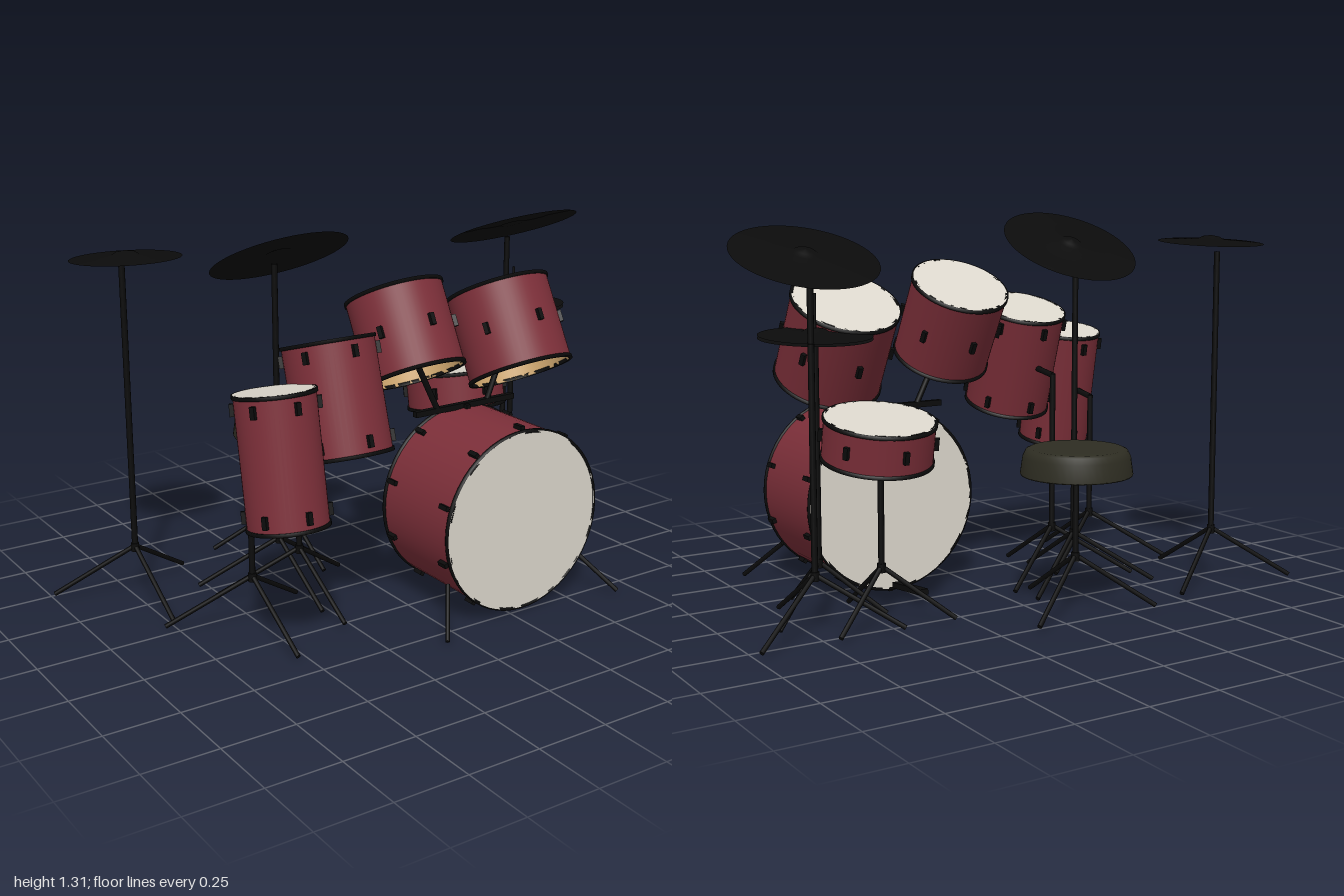
import * as THREE from 'three';

const mat = (name, color, side = THREE.FrontSide) => {
  const m = new THREE.MeshStandardMaterial({ color, side });
  m.name = name;
  return m;
};

export function createModel() {
  const red = mat('red shell', 0x7c2f39);
  const tan = mat('bare wood', 0xcaa36c, THREE.BackSide);
  const skin = mat('drum skin', 0xdcd7cc);
  const black = mat('black metal', 0x0b0b0b, THREE.DoubleSide);
  const olive = mat('seat cover', 0x2e2d22);
  const kit = new THREE.Group();
  kit.name = 'drumKit';

  const add = (parent, name, geo, material, x = 0, y = 0, z = 0) => {
    const m = new THREE.Mesh(geo, material);
    m.name = name;
    m.position.set(x, y, z);
    parent.add(m);
    return m;
  };
  const group = (name, x, y, z, tilt = 0) => {
    const g = new THREE.Group();
    g.name = name;
    g.position.set(x, y, z);
    g.rotation.x = -tilt;
    kit.add(g);
    return g;
  };
  // Straight rod between two points
  const rod = (parent, name, a, b, r) => {
    const p = new THREE.Vector3(...a), q = new THREE.Vector3(...b);
    const d = q.clone().sub(p);
    const m = add(parent, name, new THREE.CylinderGeometry(r, r, d.length(), 10), black);
    m.position.copy(p).add(q).multiplyScalar(0.5);
    m.quaternion.setFromUnitVectors(new THREE.Vector3(0, 1, 0), d.normalize());
    return m;
  };

  // Drum whose top skin is centred on the given point; tilt leans the top back
  const drum = (name, [x, y, z], tilt, R, L, { rows, lugs = 6, closed = false, lugLength = 0.04 }) => {
    const g = group(name, x, y, z, tilt);
    const r = R - 0.005;
    add(g, 'shell', new THREE.CylinderGeometry(r, r, L, 56, 1, true), red, 0, -L / 2, 0);
    add(g, 'shellInside', new THREE.CylinderGeometry(r - 0.006, r - 0.006, L, 56, 1, true), tan, 0, -L / 2, 0);
    add(g, 'topSkin', new THREE.CylinderGeometry(r, r, 0.006, 56), skin, 0, -0.001, 0);
    if (closed) add(g, 'bottomSkin', new THREE.CylinderGeometry(r, r, 0.006, 56), skin, 0, -L + 0.001, 0);
    const hoop = [[r - 0.006, 0], [R, 0], [R, 0.012], [r - 0.006, 0.012], [r - 0.006, 0]]
      .map(p => new THREE.Vector2(...p));
    for (const [n, hy] of [['topHoop', -0.01], ['bottomHoop', -L - 0.002]])
      add(g, n, new THREE.LatheGeometry(hoop, 56), black, 0, hy, 0);
    for (const row of rows) for (let i = 0; i < lugs; i++) {
      const a = i / lugs * Math.PI * 2;
      const lug = add(g, 'lug', new THREE.BoxGeometry(0.016, lugLength, 0.016), black,
        Math.sin(a) * (r + 0.006), row, Math.cos(a) * (r + 0.006));
      lug.rotation.y = a;
    }
    return g;
  };

  // Pole with three spread legs
  const stand = (name, x, z, top, reach) => {
    const g = group(name, x, 0, z);
    rod(g, 'pole', [0, 0.18, 0], [0, top, 0], 0.0105);
    add(g, 'hub', new THREE.CylinderGeometry(0.014, 0.014, 0.03, 12), black, 0, 0.195, 0);
    for (let i = 0; i < 3; i++) {
      const a = i / 3 * Math.PI * 2;
      rod(g, 'leg', [0, 0.2, 0], [Math.sin(a) * reach, 0.025, Math.cos(a) * reach], 0.008);
    }
    return g;
  };

  // Shallow cone with a small bell
  const cymbal = (name, x, y, z, R, tilt) => {
    const g = group(name, x, y, z, tilt);
    const pts = [[R, -0.002], [R * 0.6, 0.004], [0.045, 0.009], [0.03, 0.018], [0, 0.023]]
      .map(p => new THREE.Vector2(...p));
    add(g, 'plate', new THREE.LatheGeometry(pts, 48), black);
    return g;
  };

  // Bass drum with spurs and pedal
  drum('bassDrum', [0.295, 0.335, 0.5], -Math.PI / 2, 0.32, 0.37,
    { rows: [-0.037, -0.333], lugs: 10, closed: true });
  for (const s of [-1, 1])
    rod(kit, 'bassSpur', [0.295 + s * 0.275, 0.15, 0.45], [0.295 + s * 0.37, 0.02, 0.58], 0.008);
  const pedal = add(kit, 'bassPedal', new THREE.BoxGeometry(0.03, 0.02, 0.2), black, 0.295, 0.048, 0.01);
  pedal.rotation.x = 0.1;

  // Toms and snare
  drum('lowTom', [-0.54, 0.873, 0.291], 0.175, 0.135, 0.429, { rows: [-0.045, -0.384] });
  drum('midTom', [-0.28, 0.974, 0.185], 0.3, 0.157, 0.377, { rows: [-0.045, -0.332] });
  drum('rackTomRight', [0.05, 1.073, 0.078], 0.495, 0.172, 0.294, { rows: [-0.147] });
  drum('rackTomLeft', [0.49, 1.034, 0.079], 0.5, 0.187, 0.31, { rows: [-0.155] });
  drum('snare', [0.507, 0.679, -0.186], 0.18, 0.185, 0.138, { rows: [-0.069], closed: true });

  // Bracket that carries the two rack toms
  add(kit, 'rackBar', new THREE.BoxGeometry(0.425, 0.02, 0.02), black, 0.298, 0.657, 0.16);
  rod(kit, 'rackArm', [0.18, 0.66, 0.16], [0.06, 0.9, 0.16], 0.0105);
  rod(kit, 'rackArm', [0.395, 0.66, 0.16], [0.475, 0.86, 0.16], 0.0105);

  // Stands for the drums
  stand('lowTomStand', -0.54, 0.123, 0.64, 0.29);
  rod(kit, 'lowTomArm', [-0.54, 0.635, 0.123], [-0.54, 0.65, 0.21], 0.0105);
  stand('midTomStand', -0.285, 0, 0.75, 0.29);
  rod(kit, 'midTomArm', [-0.285, 0.745, 0], [-0.285, 0.76, 0.1], 0.0105);
  stand('snareStand', 0.51, -0.19, 0.54, 0.24);

  // Cymbals on their stands
  cymbal('rightCymbal', -0.75, 1.218, -0.295, 0.184, 0.057);
  stand('rightCymbalStand', -0.75, -0.33, 1.185, 0.285);
  cymbal('middleCymbal', -0.298, 1.208, -0.083, 0.237, 0.485);
  stand('middleCymbalStand', -0.295, -0.12, 1.175, 0.285);
  cymbal('leftCymbal', 0.738, 1.199, -0.14, 0.237, 0.385);
  stand('leftCymbalStand', 0.738, -0.173, 1.155, 0.285);

  // Hi-hat pair
  cymbal('upperHiHat', 0.652, 0.942, -0.026, 0.185, 0.06);
  cymbal('lowerHiHat', 0.652, 0.928, -0.026, 0.185, 0.05 + Math.PI);
  stand('hiHatStand', 0.655, -0.028, 0.92, 0.22);
  rod(kit, 'hiHatRod', [0.655, 0.9, -0.028], [0.655, 1.075, -0.028], 0.005);

  // Stool
  const seat = [[0, 0.473], [0.184, 0.473], [0.186, 0.478], [0.178, 0.535], [0.168, 0.555], [0.155, 0.561], [0, 0.561]]
    .map(p => new THREE.Vector2(...p));
  add(kit, 'stoolSeat', new THREE.LatheGeometry(seat, 48), olive, -0.105, 0, -0.402);
  stand('stoolStand', -0.105, -0.4, 0.48, 0.27);

  return kit;
}
